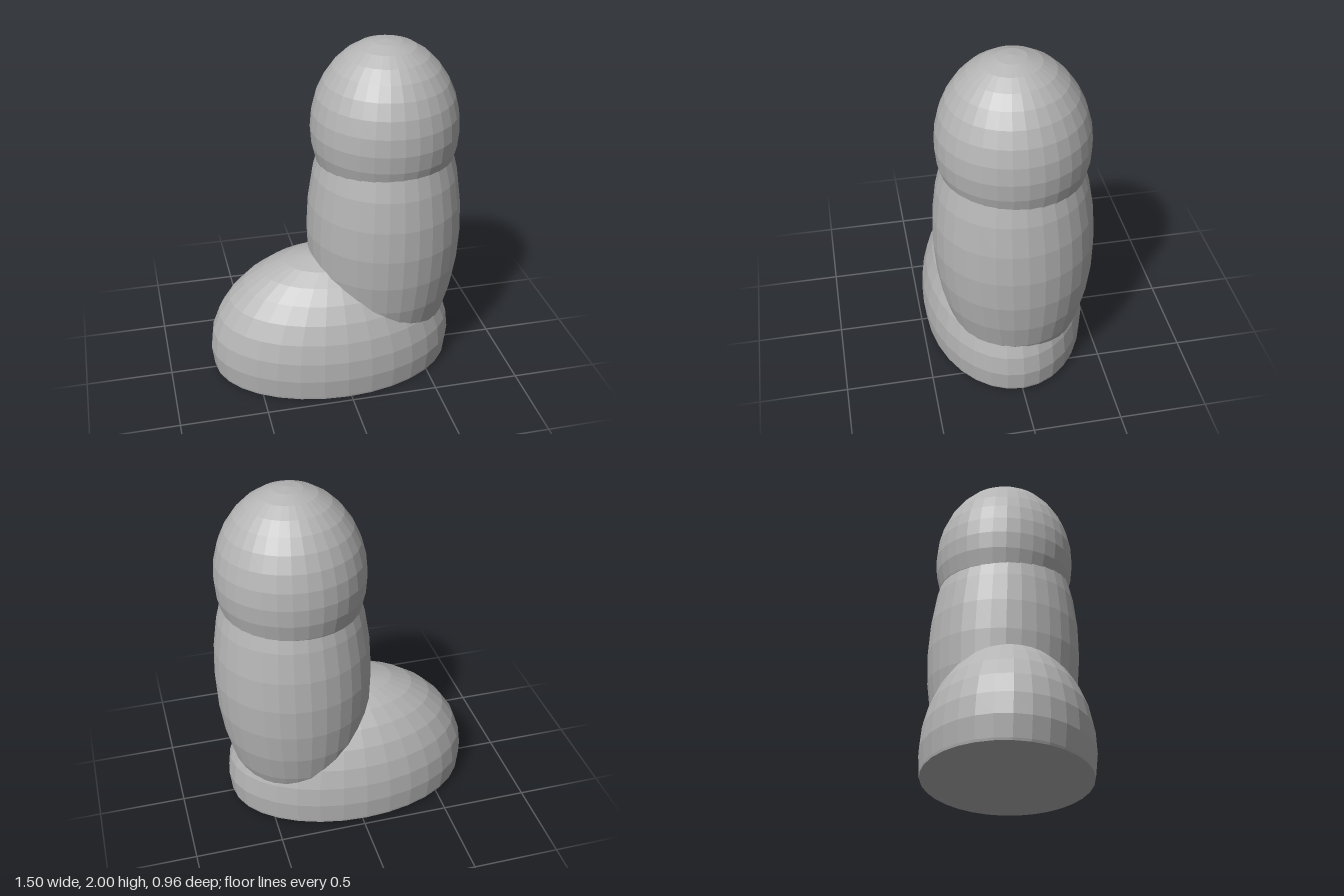
import * as THREE from 'three';

const SEGMENTS = 32, RINGS = 16;

// Faceted ellipsoid, cut flat at a distance below its centre
function ellipsoid(name, material, [rx, ry, rz], [x, y, z], cut = ry) {
  const points = [];
  const start = -Math.asin(Math.min(1, cut / ry));
  if (cut < ry) points.push(new THREE.Vector2(0, -cut / ry));
  points.push(new THREE.Vector2(Math.cos(start), Math.sin(start)));
  for (let i = 1; i <= RINGS; i++) {
    const a = -Math.PI / 2 + (i * Math.PI) / RINGS;
    if (a > start + 0.01) points.push(new THREE.Vector2(i === RINGS ? 0 : Math.cos(a), Math.sin(a)));
  }
  const geometry = new THREE.LatheGeometry(points, SEGMENTS).scale(rx, ry, rz);
  const mesh = new THREE.Mesh(geometry, material);
  mesh.name = name;
  mesh.position.set(x, y, z);
  mesh.rotation.x = 0.025; // slight lean that lifts the back edge
  return mesh;
}

export function createModel() {
  const group = new THREE.Group();
  group.name = 'roundedFigure';
  const grey = new THREE.MeshStandardMaterial({ color: 0xb4b4b4, flatShading: true });
  grey.name = 'grey';

  group.add(
    // Wide base with a flat underside
    ellipsoid('base', grey, [0.73, 0.6, 0.482], [-0.02, 0.142, -0.003], 0.13),
    // Upright body sunk into the base
    ellipsoid('body', grey, [0.45, 0.94, 0.452], [0.3, 0.86, -0.015], 0.78),
    // Domed head
    ellipsoid('head', grey, [0.42, 0.51, 0.42], [0.295, 1.49, -0.012])
  );
  return group;
}
